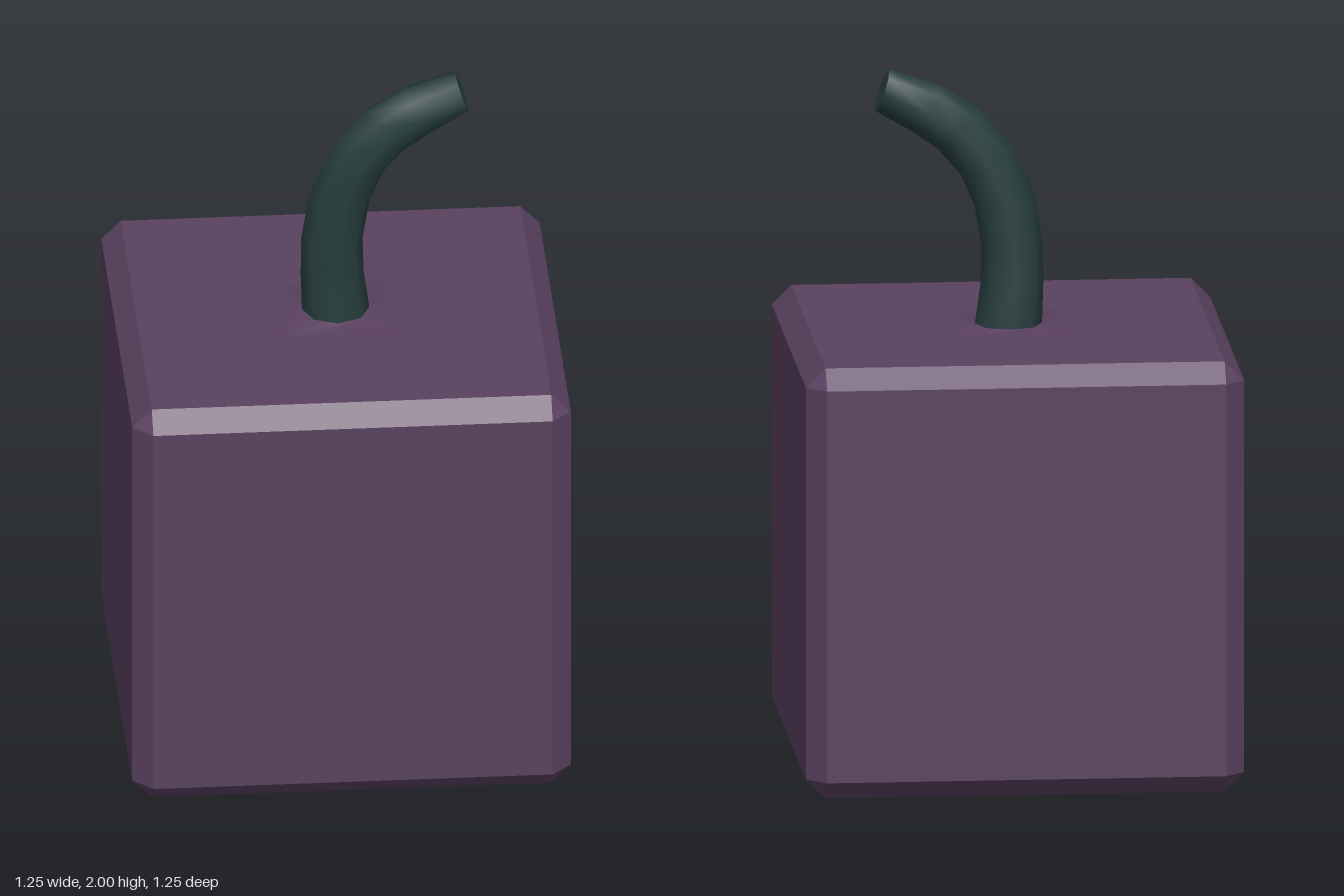
import * as THREE from 'three';
import { ConvexGeometry } from 'three/addons/geometries/ConvexGeometry.js';

const HALF = 0.627, BEVEL = 0.056, SIDES = 8;

// Cube with chamfered edges and corners: three points at each corner
function chamferedCube() {
  const points = [], inner = HALF - BEVEL;
  for (const x of [-1, 1]) for (const y of [-1, 1]) for (const z of [-1, 1]) {
    points.push(new THREE.Vector3(x * HALF, y * inner, z * inner));
    points.push(new THREE.Vector3(x * inner, y * HALF, z * inner));
    points.push(new THREE.Vector3(x * inner, y * inner, z * HALF));
  }
  return new ConvexGeometry(points).translate(0, HALF, 0);
}

// Stem sections: centre x, centre y, radius, lean from upright in radians
const SECTIONS = [
  [0, 1.24, 0.097, 0], [-0.011, 1.37, 0.09, 0], [-0.012, 1.48, 0.088, 0],
  [0.01, 1.615, 0.087, 0.18], [0.06, 1.73, 0.085, 0.49], [0.143, 1.825, 0.083, 0.73],
  [0.232, 1.884, 0.079, 1.0], [0.36, 1.94, 0.063, 1.25],
];

function sectionPoint([cx, cy, r, lean], i) {
  const a = (i / SIDES) * Math.PI * 2, u = Math.cos(a) * r;
  return [cx + u * Math.cos(lean), cy - u * Math.sin(lean), Math.sin(a) * r];
}

function stemWall() {
  const position = [], index = [];
  SECTIONS.forEach((section, s) => {
    for (let i = 0; i < SIDES; i++) {
      position.push(...sectionPoint(section, i));
      if (s === 0) continue;
      const j = (i + 1) % SIDES, lo = (s - 1) * SIDES, hi = s * SIDES;
      index.push(lo + i, hi + i, lo + j, lo + j, hi + i, hi + j);
    }
  });
  const geometry = new THREE.BufferGeometry();
  geometry.setAttribute('position', new THREE.Float32BufferAttribute(position, 3));
  geometry.setIndex(index);
  geometry.computeVertexNormals();
  return geometry;
}

// Flat cut end of the stem
function stemCap() {
  const position = [], index = [], tip = SECTIONS[SECTIONS.length - 1];
  for (let i = 0; i < SIDES; i++) {
    position.push(...sectionPoint(tip, i));
    if (i > 1) index.push(0, i, i - 1);
  }
  const geometry = new THREE.BufferGeometry();
  geometry.setAttribute('position', new THREE.Float32BufferAttribute(position, 3));
  geometry.setIndex(index);
  geometry.computeVertexNormals();
  return geometry;
}

// Thin star-shaped collar whose normals blend the flat top into the stem
function stemCollar() {
  const geometry = new THREE.RingGeometry(0.09, 0.15, SIDES, 1).rotateX(-Math.PI / 2);
  const position = geometry.attributes.position, normal = geometry.attributes.normal;
  for (let i = 0; i < position.count; i++) {
    const x = position.getX(i), z = position.getZ(i), r = Math.hypot(x, z);
    if (r > 0.12) {
      const stretch = Math.abs(x * z) > 0.005 ? 1.75 : 0.95;
      position.setXYZ(i, x * stretch, 0, z * stretch);
    } else {
      const n = new THREE.Vector3(x / r * 0.45, 1, z / r * 0.45).normalize();
      normal.setXYZ(i, n.x, n.y, n.z);
    }
  }
  return geometry.translate(0, HALF * 2 + 0.001, 0);
}

export function createModel() {
  const skin = new THREE.MeshStandardMaterial({ color: 0x5a4160 });
  skin.name = 'plum skin';
  const green = new THREE.MeshStandardMaterial({ color: 0x263d3d });
  green.name = 'dark green stem';

  const model = new THREE.Group();
  model.name = 'cubeFruit';
  const add = (name, geometry, material) => {
    const mesh = new THREE.Mesh(geometry, material);
    mesh.name = name;
    model.add(mesh);
  };
  add('body', chamferedCube(), skin);
  add('stemCollar', stemCollar(), skin);
  add('stem', stemWall(), green);
  add('stemTip', stemCap(), green);
  return model;
}
